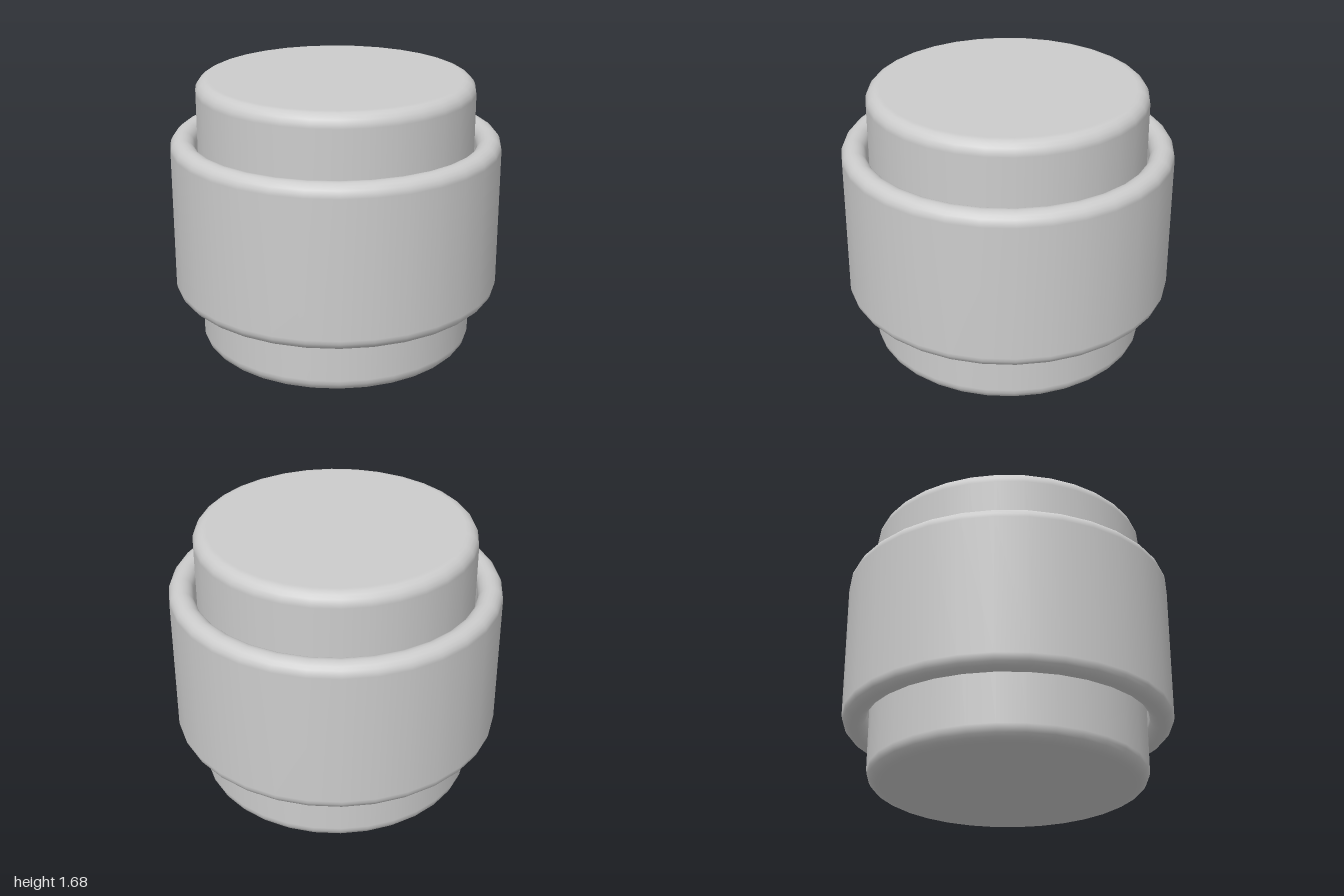
import * as THREE from 'three';

const SIDES = 32;
const STEPS = 5;

// Quarter-round corner of a lathe profile, swept counter-clockwise from angle a
function corner(cx, cy, r, a) {
  return Array.from({ length: STEPS + 1 }, (_, i) => {
    const t = a + (i / STEPS) * Math.PI / 2;
    return new THREE.Vector2(cx + r * Math.cos(t), cy + r * Math.sin(t));
  });
}

function lathe(name, points, material) {
  const mesh = new THREE.Mesh(new THREE.LatheGeometry(points, SIDES), material);
  mesh.name = name;
  return mesh;
}

export function createModel() {
  const grey = new THREE.MeshStandardMaterial({ color: 0xcccccc });
  grey.name = 'plain grey';
  const group = new THREE.Group();
  group.name = 'sleevedCylinder';

  // Solid core with rounded rims
  const R = 0.838, H = 1.68, b = 0.08;
  group.add(lathe('core', [
    new THREE.Vector2(0, 0),
    ...corner(R - b, b, b, -Math.PI / 2),
    ...corner(R - b, H - b, b, 0),
    new THREE.Vector2(0, H),
  ], grey));

  // Loose outer sleeve: a tube with fully rounded ends and a thin gap to the core
  const inner = 0.852, outer = 1, y0 = 0.345, y1 = 1.335;
  const r = (outer - inner) / 2, mid = (outer + inner) / 2;
  const ring = [
    ...corner(mid, y0 + r, r, -Math.PI / 2),
    ...corner(mid, y1 - r, r, 0),
    ...corner(mid, y1 - r, r, Math.PI / 2).slice(1),
    ...corner(mid, y0 + r, r, Math.PI),
  ];
  group.add(lathe('sleeve', ring, grey));
  return group;
}
